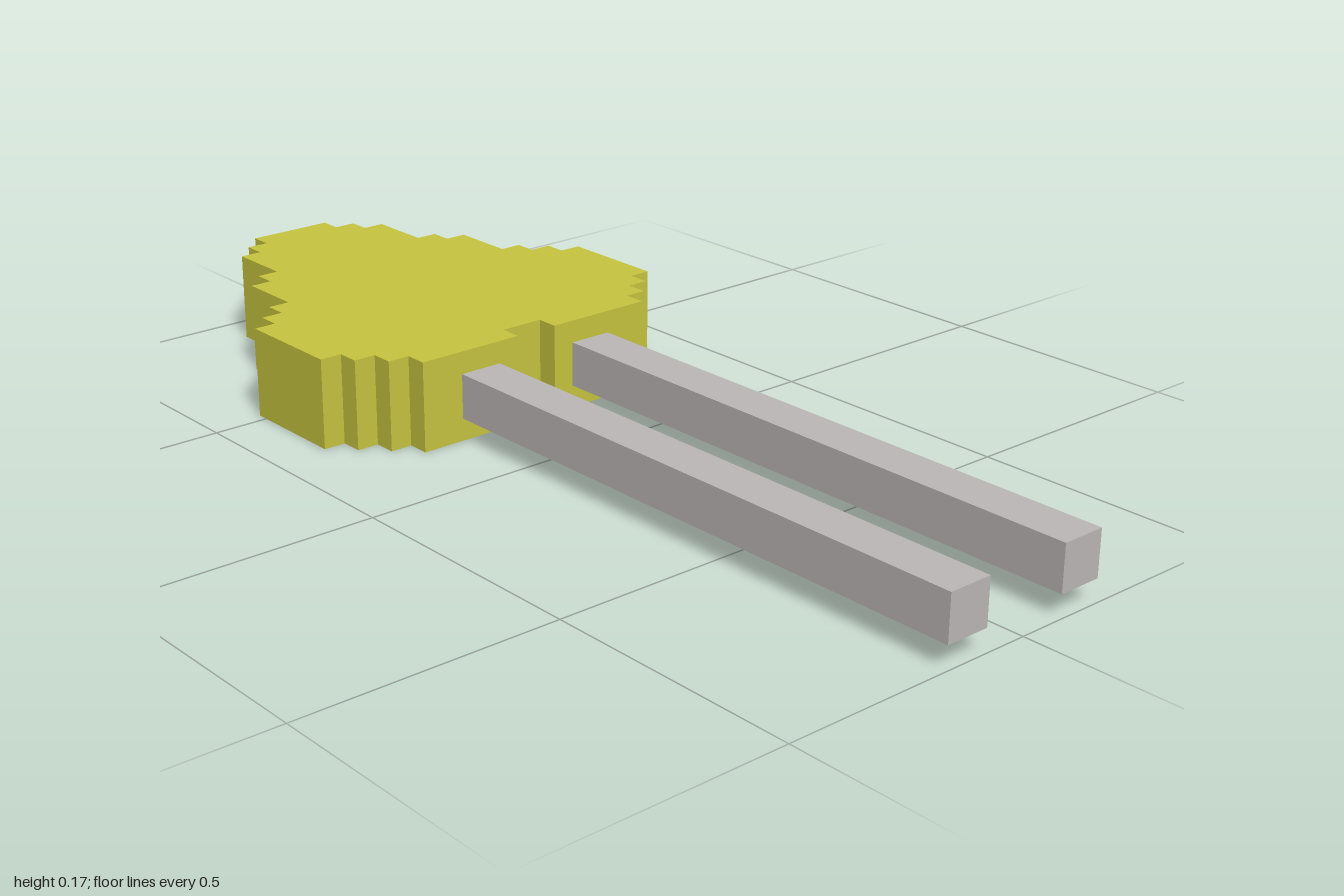
import * as THREE from 'three';

// One step of the blocky grid: 46 steps span the full length.
const U = 2 / 46;

export function createModel() {
  const model = new THREE.Group();
  model.name = 'twoProngedPlug';

  const yellow = new THREE.MeshStandardMaterial({ color: 0xc6c33f });
  yellow.name = 'yellow';
  const grey = new THREE.MeshStandardMaterial({ color: 0xbab6b5 });
  grey.name = 'grey';

  // Stepped head: [start, end, half width] of each column, in grid steps
  const columns = [
    [0, 1, 2], [1, 2, 3], [2, 5, 4], [5, 6, 5], [6, 9, 6], [9, 10, 7],
    [10, 11, 8], [11, 16, 9], [16, 17, 8], [17, 18, 7], [18, 19, 6],
  ];
  const upper = columns.flatMap(([a, b, h]) => [[a, h], [b, h]]);
  // Notch between the two prongs
  upper.push([19, 1], [18, 1]);
  const lower = upper.map(([x, z]) => [x, -z]).reverse();
  const outline = [...upper, ...lower].map(([x, z]) => new THREE.Vector2(x * U - 1, z * U));

  const headGeometry = new THREE.ExtrudeGeometry(new THREE.Shape(outline), {
    depth: 4 * U,
    bevelEnabled: false,
  });
  headGeometry.rotateX(-Math.PI / 2);
  const head = new THREE.Mesh(headGeometry, yellow);
  head.name = 'steppedHead';
  model.add(head);

  // Pair of square prongs
  const prongLength = 27 * U;
  for (const side of [-1, 1]) {
    const prong = new THREE.Mesh(new THREE.BoxGeometry(prongLength, 2 * U, 2 * U), grey);
    prong.name = side > 0 ? 'frontProng' : 'backProng';
    prong.position.set(1 - prongLength / 2, 2 * U, side * 3 * U);
    model.add(prong);
  }

  return model;
}
